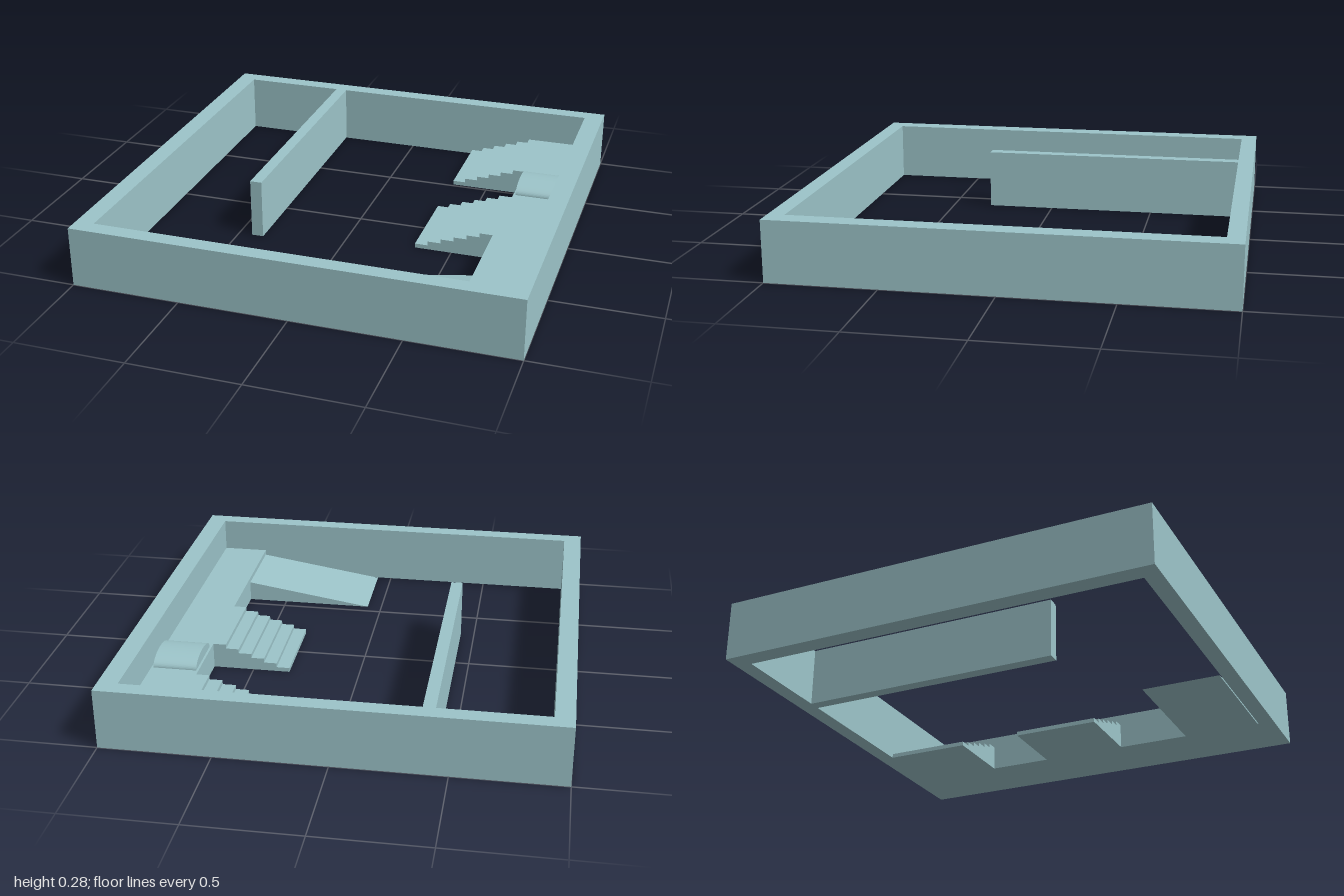
import * as THREE from 'three';

const material = new THREE.MeshStandardMaterial({ color: 0x9cc4c9 });
const WALL_H = 0.277, DECK_H = 0.12, DECK_X0 = 0.69, DECK_X1 = 0.91;

function polygon(points) {
  return new THREE.Shape(points.map(([x, y]) => new THREE.Vector2(x, y)));
}

function addMesh(group, name, geometry) {
  const mesh = new THREE.Mesh(geometry, material);
  mesh.name = name;
  group.add(mesh);
  return mesh;
}

// Extrude a side profile (x, y) from z0 to z1
function addProfile(group, name, points, z0, z1, curveSegments = 12) {
  const shape = points.isShape ? points : polygon(points);
  const geometry = new THREE.ExtrudeGeometry(shape, { depth: z1 - z0, bevelEnabled: false, curveSegments });
  geometry.translate(0, 0, z0);
  return addMesh(group, name, geometry);
}

export function createModel() {
  const group = new THREE.Group();
  group.name = 'walledYard';

  // Perimeter wall and partition in one plan; plan y is -z
  const plan = polygon([[-1, -1], [1, -1], [1, 1], [-1, 1]]);
  plan.holes.push(polygon([
    [-0.915, -0.925], [-0.915, 0.925], [-0.435, 0.925], [-0.435, -0.315],
    [-0.38, -0.315], [-0.38, 0.925], [DECK_X1, 0.925], [DECK_X1, -0.925],
  ]));
  const walls = new THREE.ExtrudeGeometry(plan, { depth: WALL_H, bevelEnabled: false });
  walls.rotateX(-Math.PI / 2);
  addMesh(group, 'perimeterWalls', walls);

  // Raised walkway along the left wall
  const deck = new THREE.BoxGeometry(DECK_X1 - DECK_X0, DECK_H, 1.85);
  deck.translate((DECK_X0 + DECK_X1) / 2, DECK_H / 2, 0);
  addMesh(group, 'raisedWalkway', deck);

  // Two matching flights of six steps
  const steps = 6, stairX0 = 0.328, run = (DECK_X0 - stairX0) / steps, rise = DECK_H / steps;
  const profile = [[DECK_X0, 0], [DECK_X0, DECK_H]];
  for (let i = steps - 1; i >= 0; i--) {
    profile.push([stairX0 + i * run, (i + 1) * rise], [stairX0 + i * run, i * rise]);
  }
  addProfile(group, 'backStairs', profile, -0.925, -0.515);
  addProfile(group, 'middleStairs', profile, -0.21, 0.205);

  // Ramp, ending just below the walkway
  addProfile(group, 'ramp', [[0.07, 0], [DECK_X0, 0], [DECK_X0, 0.096]], 0.55, 0.92);

  // Low rounded mound on the walkway, its axis along x
  const arch = new THREE.Shape();
  arch.absellipse(0, 0, 0.12, 0.05, 0, Math.PI, false);
  const mound = new THREE.ExtrudeGeometry(arch, { depth: 0.2, bevelEnabled: false, curveSegments: 32 });
  mound.rotateY(Math.PI / 2);
  mound.translate(0.7, DECK_H, -0.36);
  addMesh(group, 'roundedMound', mound);

  return group;
}
